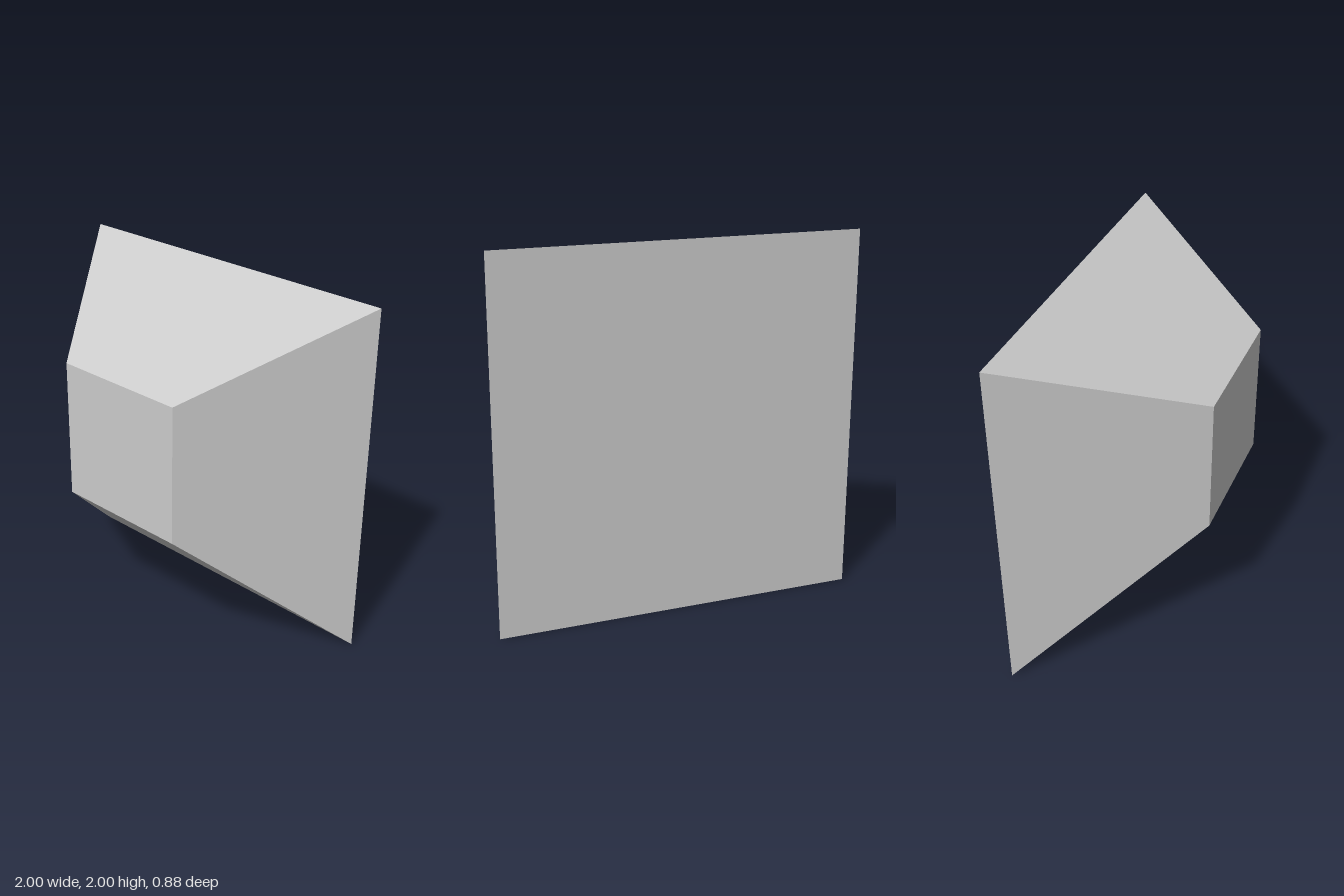
import * as THREE from 'three';

export function createModel() {
  const group = new THREE.Group();

  // Square back plate tapering to a smaller, off-centre front face
  const geometry = new THREE.BoxGeometry(2, 2, 0.885);
  geometry.translate(0, 1, 0);
  const front = { size: 0.77, x: 0.07, y: 1.205 };
  const pos = geometry.attributes.position;
  for (let i = 0; i < pos.count; i++) {
    if (pos.getZ(i) < 0) continue;
    pos.setX(i, front.x + Math.sign(pos.getX(i)) * front.size / 2);
    pos.setY(i, front.y + Math.sign(pos.getY(i) - 1) * front.size / 2);
  }
  geometry.computeVertexNormals();

  const block = new THREE.Mesh(
    geometry,
    new THREE.MeshStandardMaterial({ color: 0xcccccc, flatShading: true })
  );
  block.name = 'taperedBlock';
  group.add(block);
  return group;
}
